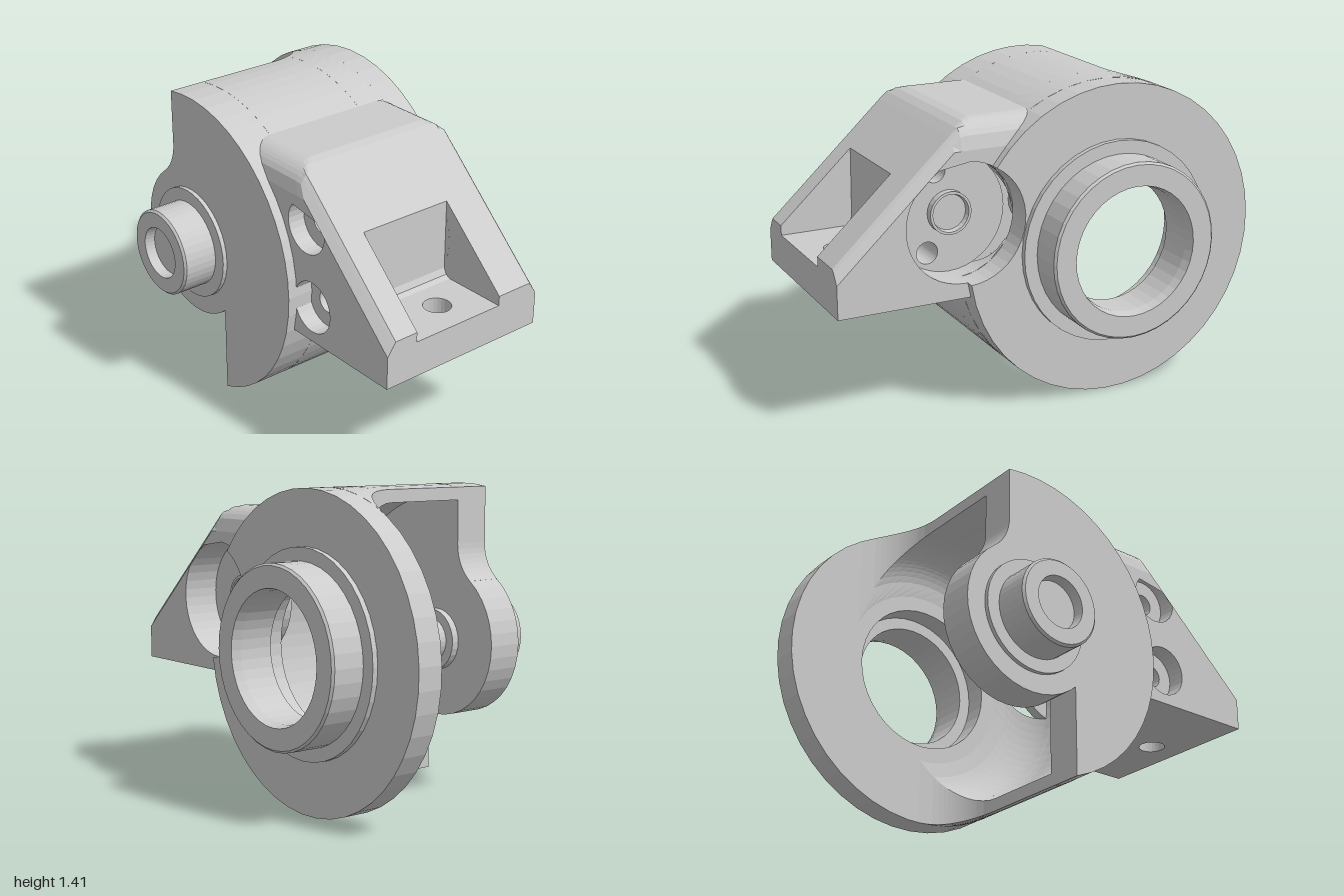
import * as THREE from 'three';

const mat = new THREE.MeshStandardMaterial({ color: 0xcccccc, flatShading: true, side: THREE.DoubleSide });
const CZ = -0.29, CY = 0.709, R = 0.706, RIN = 0.65;   // housing axis and radii
const PZ = 0.42, PY = 0.88, PR = 0.268;                // side pocket
const WALL = -0.295, CUT = 0.2, FLOOR = 0.25, DISC = 0.34; // x of end wall, pocket cut, pocket floor, disc
const D = Math.hypot(PZ - CZ, PY - CY), PHI = Math.atan2(PY - CY, PZ - CZ);
const lerp = THREE.MathUtils.lerp;

// half angle at which a housing circle of radius r meets the pocket
const meet = (r) => Math.acos(Math.min(1, (r * r + D * D - PR * PR) / (2 * r * D)));
const arc = (cz, cy, r, a, b, n) => Array.from({ length: n + 1 }, (_, i) => {
  const t = lerp(a, b, i / n);
  return [cz + r * Math.cos(t), cy + r * Math.sin(t)];
});
const ring = (r, a, b, n) => arc(CZ, CY, r, a, b, n);
const toV = (p) => new THREE.Vector2(-p[0], p[1]);

// extrude a (z, y) outline between two x positions
function slab(pts, x0, x1, holes = [], steps = 1) {
  const shape = new THREE.Shape(pts.map(toV));
  for (const [z, y, r, n = 28] of holes) {
    shape.holes.push(new THREE.Path(arc(z, y, r, 0, Math.PI * 2, n).slice(0, -1).map(toV)));
  }
  const g = new THREE.ExtrudeGeometry(shape, { depth: x1 - x0, steps, bevelEnabled: false });
  return g.rotateY(Math.PI / 2).translate(x0, 0, 0);
}

// turned part about the x axis from [x, radius] points
function turned(pts, y = CY, z = CZ, n = 40) {
  const g = new THREE.LatheGeometry(pts.map(([x, r]) => new THREE.Vector2(r, x)), n);
  return g.rotateZ(-Math.PI / 2).translate(0, y, z);
}

// rise of the round fillet that joins the shell to the large disc
function fillet(x) {
  const r = 0.24, d = Math.max(0, x - 0.1);
  return r - Math.sqrt(Math.max(0, r * r - d * d));
}

// curved shell wall from the front to the open back, cut by the pocket if asked
function shell(side, z0, x0, x1, cut) {
  const g = new THREE.BoxGeometry(1, 1, 1, 16, 14, 4), p = g.attributes.position;
  for (let i = 0; i < p.count; i++) {
    const x = lerp(x0, x1, 0.5 - side * p.getY(i));
    const r = lerp(RIN - fillet(x), R, p.getZ(i) + 0.5);
    const start = PHI + (cut ? side * meet(r) : 0);
    const end = side * Math.acos((z0 - fillet(x) - CZ) / r);
    const t = lerp(start, end, p.getX(i) + 0.5);
    p.setXYZ(i, x, CY + r * Math.sin(t), CZ + r * Math.cos(t));
  }
  return g;
}

// sloped bracket outline, from its underside round to its top
const slopeY = (z) => 0.755 + 0.93 * (1 - z);
const RB = 0.675, TOP = 1.314, BASE = 0.545;
const aLow = Math.asin((BASE - CY) / RB), aTop = Math.asin((TOP - CY) / RB);
function bracketOutline(foot, front, pocket) {
  const pts = [...foot];
  for (let i = 0; i <= 14; i++) {
    const z = lerp(front, 0.465, i / 14);
    pts.push([z, slopeY(z)]);
  }
  pts.push([0.43, 1.283], [0.395, 1.304], [0.358, TOP], [0.2, TOP], [0.08, TOP]);
  if (!pocket) return [...pts, ...ring(RB, aTop, aLow, 16)];
  const a = meet(RB), up = ring(RB, aTop, PHI + a, 8), down = ring(RB, PHI - a, aLow, 4);
  const u = up[up.length - 1], l = down[0];
  const t0 = Math.atan2(u[1] - PY, u[0] - PZ), t1 = Math.atan2(l[1] - PY, l[0] - PZ);
  return [...pts, ...up, ...arc(PZ, PY, PR, t0, t1, 26).slice(1, -1), ...down];
}

// round the top corners and chamfer the sloping edges
function soften(g) {
  const p = g.attributes.position;
  for (let i = 0; i < p.count; i++) {
    const x = Math.abs(p.getX(i)), y = p.getY(i), z = p.getZ(i);
    const d = Math.min(0.12, Math.max(0, x - 0.302));
    const cap = TOP - 0.12 + Math.sqrt(0.0144 - d * d);
    const slope = slopeY(z) - 0.06 * Math.max(0, (x - 0.382) / 0.04);
    p.setY(i, Math.min(y, cap, Math.max(slope, BASE)));
  }
  return g;
}

export function createModel() {
  const model = new THREE.Group();
  const add = (name, g) => {
    g.computeVertexNormals();
    const m = new THREE.Mesh(g, mat);
    m.name = name;
    model.add(m);
  };

  // hollow housing, open at the back and cut further away below
  for (const [name, side, z0] of [['upperShell', 1, -0.42], ['lowerShell', -1, -0.056]]) {
    add(name, shell(side, z0, WALL, CUT, false));
    add(name + 'ByDisc', shell(side, z0, CUT, DISC, true));
  }

  // end wall on the small bearing side, blended into the bearing disc
  const low = -Math.acos((-0.056 - CZ) / R), high = Math.acos((-0.42 - CZ) / R);
  add('smallEndWall', slab([...ring(R, low, high, 24), ...arc(-0.62, CY + 0.44, 0.2, 0, -0.927, 8),
    [-0.42, CY], [-0.056, CY]], -0.465, WALL));
  add('smallBearingDisc', turned([[-0.465, 0], [-0.465, 0.35], [WALL, 0.35], [WALL, 0]]));
  add('smallJournal', turned([[-0.6, 0], [-0.6, 0.115], [-0.648, 0.12], [-0.648, 0.19], [-0.638, 0.2],
    [-0.485, 0.2], [-0.485, 0.26], [-0.465, 0.26]]));
  add('innerPin', turned([[WALL, 0.14], [-0.26, 0.14], [-0.26, 0.097], [-0.14, 0.097],
    [-0.13, 0.087], [-0.13, 0]], CY, CZ, 28));

  // large disc, notched by the side pocket and bored through
  const a = meet(R), rim = ring(R, PHI + a, PHI - a + Math.PI * 2, 40);
  const ang = (q) => Math.atan2(q[1] - PY, q[0] - PZ);
  const t0 = ang(rim[rim.length - 1]), t1 = ang(rim[0]);
  const notch = arc(PZ, PY, PR, t0 > 0 ? t0 - 2 * Math.PI : t0, t1 > 0 ? t1 - 2 * Math.PI : t1, 18);
  add('largeDisc', slab([...rim, ...notch.slice(1, -1)], DISC, 0.462, [[CZ, CY, 0.34, 40]]));
  add('largeJournal', turned([[DISC, 0.34], [0.44, 0.34], [0.44, 0.285], [0.6, 0.285], [0.645, 0.295],
    [0.645, 0.39], [0.635, 0.4], [0.487, 0.4], [0.487, 0.46], [0.462, 0.46]]));

  // sloped bracket in slices along x, with two counterbored bolt holes
  const bores = (r) => [[0.48, 1.07, r], [0.52, 0.71, r]];
  const corner = [[1, BASE]];
  const full = bracketOutline(corner, 1, false);
  const recess = [[0.7, BASE], [0.7, 0.71], [0.677, 0.722], [0.664, 0.75]];
  add('bracketCounterbores', soften(slab(full, -0.422, -0.34, bores(0.118), 6)));
  add('bracketWall', soften(slab(full, -0.34, -0.265, bores(0.05), 4)));
  add('bracketCentre', soften(slab(bracketOutline(recess, 0.66, false), -0.265, CUT, bores(0.05))));
  add('bracketSide', soften(slab(bracketOutline(corner, 1, true), CUT, 0.422, [], 14)));

  // floor of the front recess with its vertical hole
  const floor = new THREE.Shape([[-0.265, -1], [CUT, -1], [CUT, -0.69], [-0.265, -0.69]]
    .map((p) => new THREE.Vector2(...p)));
  floor.holes.push(new THREE.Path().absarc(0, -0.835, 0.062, 0, Math.PI * 2));
  add('recessFloor', new THREE.ExtrudeGeometry(floor, { depth: 0.165, bevelEnabled: false, curveSegments: 12 })
    .rotateX(-Math.PI / 2).translate(0, BASE, 0));

  // pocket floor with its small bearing seat
  add('pocketFloor', slab(arc(PZ, PY, PR, 0, Math.PI * 2, 40).slice(0, -1), CUT, FLOOR, bores(0.05)));
  add('pocketBoss', turned([[FLOOR, 0.097], [0.285, 0.097], [0.285, 0.085], [0.26, 0.08], [0.26, 0]], 0.885, PZ, 24));

  return model;
}
